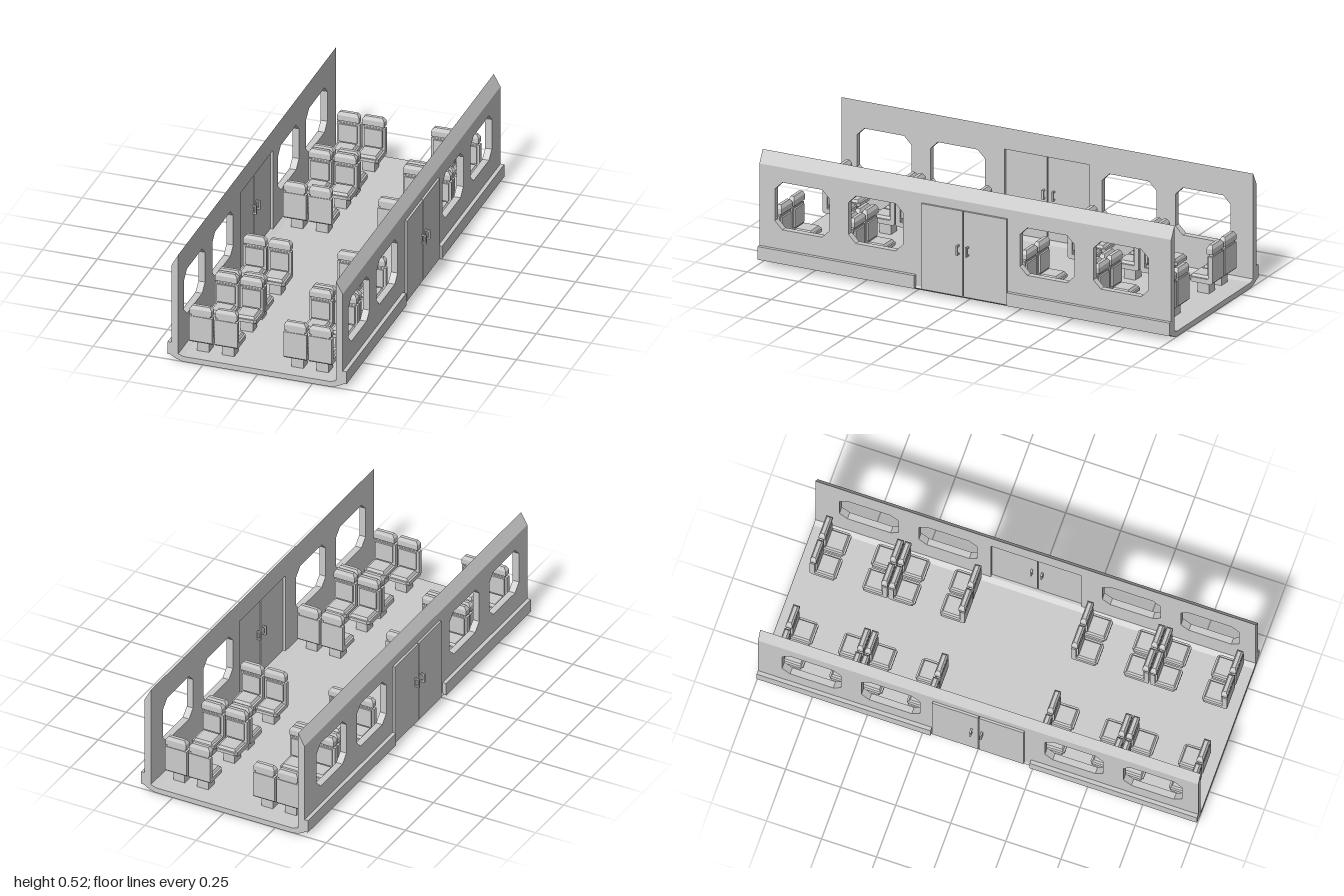
import * as THREE from 'three';

const material = new THREE.MeshStandardMaterial({ color: 0xcccccc, flatShading: true, side: THREE.DoubleSide });

// Cross-section half widths of the car body
const INNER = 0.3595, OUTER = 0.39, SKIRT = 0.4075;

function add(parent, geometry, name) {
  const mesh = new THREE.Mesh(geometry, material);
  mesh.name = name;
  parent.add(mesh);
  return mesh;
}

// Box given by its limits; top or bottom can be narrowed by [dx, dz]
function block(x0, x1, y0, y1, z0, z1, topInset = [0, 0], bottomInset = [0, 0]) {
  const g = new THREE.BoxGeometry(x1 - x0, y1 - y0, z1 - z0);
  const p = g.attributes.position;
  for (let i = 0; i < p.count; i++) {
    const [dx, dz] = p.getY(i) > 0 ? topInset : bottomInset;
    p.setX(i, p.getX(i) - Math.sign(p.getX(i)) * dx);
    p.setZ(i, p.getZ(i) - Math.sign(p.getZ(i)) * dz);
  }
  g.translate((x0 + x1) / 2, (y0 + y1) / 2, (z0 + z1) / 2);
  g.computeVertexNormals();
  return g;
}

const toPoints = (list) => list.map(([x, y]) => new THREE.Vector2(x, y));

// Rectangle with cut corners
function cutRect(x0, x1, y0, y1, c) {
  return toPoints([[x0 + c, y0], [x1 - c, y0], [x1, y0 + c], [x1, y1 - c],
    [x1 - c, y1], [x0 + c, y1], [x0, y1 - c], [x0, y0 + c]]);
}

function extrude(shape, depth) {
  return new THREE.ExtrudeGeometry(shape, { depth, bevelEnabled: false });
}

// Seat with its back at z = 0, facing +z
function makeSeat() {
  const seat = new THREE.Group();
  add(seat, block(-0.0275, 0.0275, 0.024, 0.08, 0.03, 0.085), 'seatPedestal');
  add(seat, block(-0.0525, 0.0525, 0.078, 0.086, 0, 0.11, [0, 0], [0, 0.008]), 'seatUnderside');
  const pan = new THREE.Shape(toPoints([[-0.0525, 0], [0.0525, 0], [0.0525, -0.105],
    [0.042, -0.117], [-0.042, -0.117], [-0.0525, -0.105]]));
  add(seat, extrude(pan, 0.014).rotateX(-Math.PI / 2).translate(0, 0.086, 0), 'seatPan');
  add(seat, block(-0.044, 0.044, 0.1, 0.112, 0.024, 0.109, [0.006, 0.006]), 'seatCushion');
  add(seat, block(-0.0525, 0.0525, 0.086, 0.205, 0, 0.022), 'seatBack');
  const pad = block(-0.042, 0.042, -0.042, 0.042, 0, 0.03);
  add(seat, pad.translate(0, 0.157, 0), 'backPad');
  add(seat, block(-0.0425, 0.0425, 0.204, 0.217, 0.003, 0.02), 'headrestNeck');
  add(seat, block(-0.0505, 0.0505, 0.215, 0.24, 0, 0.029), 'headrest');
  add(seat, block(-0.0505, 0.0505, 0.24, 0.256, 0, 0.029, [0.011, 0.007]), 'headrestTop');
  return seat;
}

// Wall panel with four windows and a door opening, drawn in z and y
function wallGeometry() {
  const shape = new THREE.Shape(toPoints([[-1, 0.025], [1, 0.025], [1, 0.46], [-1, 0.46]]));
  for (const [z0, z1] of [[0.66, 0.925], [0.303, 0.568], [-0.53, -0.265], [-0.89, -0.622]]) {
    shape.holes.push(new THREE.Path(cutRect(z0, z1, 0.175, 0.392, 0.036)));
  }
  shape.holes.push(new THREE.Path(toPoints([[-0.203, 0.031], [0.208, 0.031], [0.208, 0.417], [-0.203, 0.417]])));
  return extrude(shape, OUTER - INNER).rotateY(-Math.PI / 2);
}

// Open square grip, drawn in x and y
function handleGeometry(x0, x1) {
  const shape = new THREE.Shape(toPoints([[x0, 0.219], [x1, 0.219], [x1, 0.262], [x0, 0.262]]));
  const t = 0.006;
  shape.holes.push(new THREE.Path(toPoints([[x0 + t, 0.226], [x1 - t, 0.226], [x1 - t, 0.255], [x0 + t, 0.255]])));
  return extrude(shape, 0.008).translate(0, 0, -0.004);
}

function makeSide(s) {
  const side = new THREE.Group();
  const span = (a, b) => (s > 0 ? [a, b] : [-b, -a]);

  add(side, wallGeometry().translate(s > 0 ? OUTER : -INNER, 0, 0), 'windowWall');
  const rail = new THREE.Shape(toPoints([[s * INNER, 0.46], [s * OUTER, 0.46], [s * INNER, 0.516]]));
  add(side, extrude(rail, 2).translate(0, 0, -1), 'slopedWallTop');

  // Skirt along the bottom, broken at the doors
  for (const [z0, z1] of [[0.24, 1], [-1, -0.21]]) {
    add(side, block(...span(OUTER - 0.015, SKIRT), 0.025, 0.085, z0, z1), 'skirt');
  }

  // Double door, set back inside and standing proud outside
  for (const [z0, z1] of [[0.0085, 0.21], [-0.205, 0.0035]]) {
    add(side, block(...span(0.372, 0.4), 0.029, 0.418, z0, z1), 'doorLeaf');
  }
  const shift = s > 0 ? 0 : -0.006;
  for (const z of [0.027, -0.02]) {
    add(side, handleGeometry(...span(0.396, 0.4225)).translate(0, 0, z + shift), 'outerDoorHandle');
    add(side, handleGeometry(...span(0.3545, 0.377)).translate(0, 0, z + shift), 'innerDoorHandle');
  }
  return side;
}

export function createModel() {
  const model = new THREE.Group();
  const car = new THREE.Group();
  car.name = 'railCarSection';
  car.position.x = -0.0025;
  model.add(car);

  // Floor pan with turned-up edges
  const half = [[0.338, 0], [0.368, 0.009], [0.396, 0.025], [OUTER, 0.034], [INNER, 0.034], [0.335, 0.025]];
  const mirrored = half.map(([x, y]) => [-x, y]).reverse();
  add(car, extrude(new THREE.Shape(toPoints([...half, ...mirrored])), 2).translate(0, 0, -1), 'floor');

  for (const s of [1, -1]) {
    const side = makeSide(s);
    side.name = s > 0 ? 'leftSide' : 'rightSide';
    car.add(side);
  }

  // Rows of seats: position of the back and facing direction
  const rows = [[-0.937, 1], [-0.585, -1], [-0.579, 1], [-0.233, -1],
    [0.25, 1], [0.602, -1], [0.608, 1], [0.958, -1]];
  for (const [z, facing] of rows) {
    for (const x of [-0.2725, -0.1575, 0.1575, 0.2725]) {
      const seat = makeSeat();
      seat.name = 'seat';
      seat.position.set(x, 0, z);
      if (facing < 0) seat.rotation.y = Math.PI;
      car.add(seat);
    }
  }
  return model;
}
